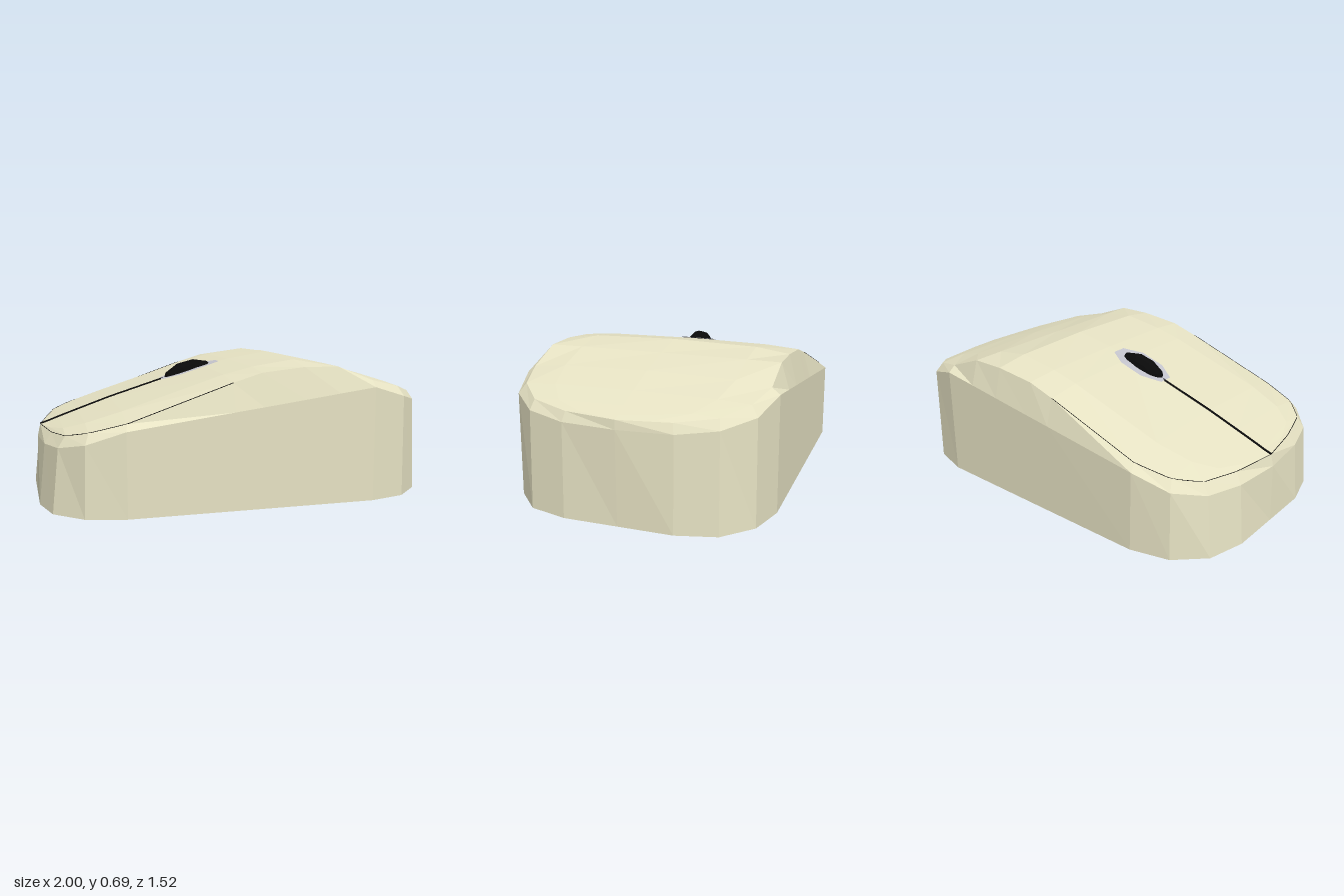
import * as THREE from 'three';

// Stations nose to tail, half widths: base u,v | shoulder u,v,y | cover rim u,v,y | crown y
const STATIONS = [
  [-0.966, 0, -0.955, 0, 0.29, -0.94, 0, 0.348, 0.348],
  [-0.966, 0.26, -0.935, 0.255, 0.294, -0.9, 0.24, 0.345, 0.361],
  [-0.917, 0.447, -0.885, 0.442, 0.305, -0.85, 0.432, 0.358, 0.38],
  [-0.785, 0.574, -0.775, 0.57, 0.335, -0.755, 0.534, 0.383, 0.414],
  [-0.6, 0.624, -0.6, 0.622, 0.395, -0.59, 0.584, 0.425, 0.472],
  [-0.1, 0.624, -0.1, 0.622, 0.462, -0.1, 0.584, 0.593, 0.625],
  [0.04, 0.624, 0.04, 0.622, 0.48, 0.04, 0.584, 0.636, 0.655],
  [0.25, 0.624, 0.25, 0.622, 0.508, 0.25, 0.584, 0.657, 0.69],
  [0.42, 0.624, 0.42, 0.622, 0.531, 0.42, 0.584, 0.655, 0.657],
  [0.6, 0.624, 0.6, 0.622, 0.555, 0.6, 0.584, 0.585, 0.612],
  [0.785, 0.574, 0.78, 0.57, 0.5, 0.76, 0.537, 0.547, 0.56],
  [0.917, 0.447, 0.9, 0.442, 0.465, 0.87, 0.432, 0.51, 0.521],
  [0.966, 0.26, 0.95, 0.258, 0.445, 0.93, 0.248, 0.49, 0.498],
  [0.966, 0, 0.965, 0, 0.443, 0.96, 0, 0.486, 0.486],
];

// Full cross-section loop of one station, from -z over the top to +z
function section([bu, bv, lu, lv, ly, tu, tv, ty, my]) {
  const flank = THREE.MathUtils.lerp(my, ty, 0.3);
  return [
    [bu, 0, -bv], [lu, ly, -lv], [tu, ty, -tv], [tu, flank, -0.72 * tv],
    [tu, my, 0],
    [tu, flank, 0.72 * tv], [tu, ty, tv], [lu, ly, lv], [bu, 0, bv],
  ];
}

// Skins the chosen columns of the cross-sections
function skin(columns) {
  const rows = STATIONS.map(section);
  const pos = [];
  for (let i = 0; i < rows.length - 1; i++) {
    for (const j of columns) {
      const k = (j + 1) % 9;
      const a = rows[i][j], b = rows[i + 1][j], c = rows[i + 1][k], d = rows[i][k];
      pos.push(...a, ...d, ...c, ...a, ...c, ...b);
    }
  }
  const geo = new THREE.BufferGeometry();
  geo.setAttribute('position', new THREE.Float32BufferAttribute(pos, 3));
  geo.computeVertexNormals();
  return geo;
}

// Height of the cover along its centre line
function crown(u) {
  let i = 0;
  while (i < STATIONS.length - 2 && STATIONS[i + 1][5] < u) i++;
  const p = STATIONS[i], q = STATIONS[i + 1];
  return THREE.MathUtils.lerp(p[8], q[8], (u - p[5]) / (q[5] - p[5]));
}

function polyTube(points, radius) {
  const path = new THREE.CurvePath();
  for (let i = 0; i < points.length - 1; i++) path.add(new THREE.LineCurve3(points[i], points[i + 1]));
  return new THREE.TubeGeometry(path, 60, radius, 4);
}

export function createModel() {
  const mouse = new THREE.Group();
  mouse.name = 'computerMouse';
  const shell = new THREE.MeshStandardMaterial({ color: 0xe6e2c3, flatShading: true });
  const black = new THREE.MeshStandardMaterial({ color: 0x0a0a0a, flatShading: true });
  const grey = new THREE.MeshStandardMaterial({ color: 0xc4c4cc, flatShading: true, side: THREE.DoubleSide });

  const add = (name, geo, mat) => {
    const mesh = new THREE.Mesh(geo, mat);
    mesh.name = name;
    mouse.add(mesh);
    return mesh;
  };

  // Walls with bevel and underside, then the crowned cover
  add('lowerBody', skin([0, 1, 6, 7, 8]), shell);
  add('topCover', skin([2, 3, 4, 5]), shell);

  // Fine seam around the front of the cover
  const rim = (side) => STATIONS.slice(0, 6).map((s) => new THREE.Vector3(s[5], s[7], side * s[6]));
  add('coverSeam', polyTube([...rim(-1).reverse(), ...rim(1).slice(1)], 0.0018), black);

  // Split between the two buttons
  const split = [-0.94, -0.9, -0.85, -0.755, -0.59, -0.31].map((u) => new THREE.Vector3(u, crown(u), 0));
  add('buttonSplit', polyTube(split, 0.007), black);

  // Wheel surround draped over the cover
  const surround = new THREE.CircleGeometry(1, 8, Math.PI / 8);
  surround.rotateX(-Math.PI / 2).scale(0.165, 1, 0.098).translate(-0.17, 0, 0.004);
  const p = surround.attributes.position;
  for (let i = 0; i < p.count; i++) p.setY(i, crown(p.getX(i)) + 0.004);
  surround.computeVertexNormals();
  add('wheelSurround', surround, grey);

  // Scroll wheel
  const wheel = add('scrollWheel', new THREE.SphereGeometry(1, 10, 8), black);
  wheel.geometry.rotateX(Math.PI / 2).scale(0.142, 0.08, 0.056);
  wheel.position.set(-0.172, 0.572, 0.003);
  wheel.rotation.z = 0.25;

  // The whole mouse sits turned on its base
  mouse.rotation.y = -Math.PI / 12;
  const model = new THREE.Group();
  model.name = 'model';
  model.add(mouse);
  return model;
}
